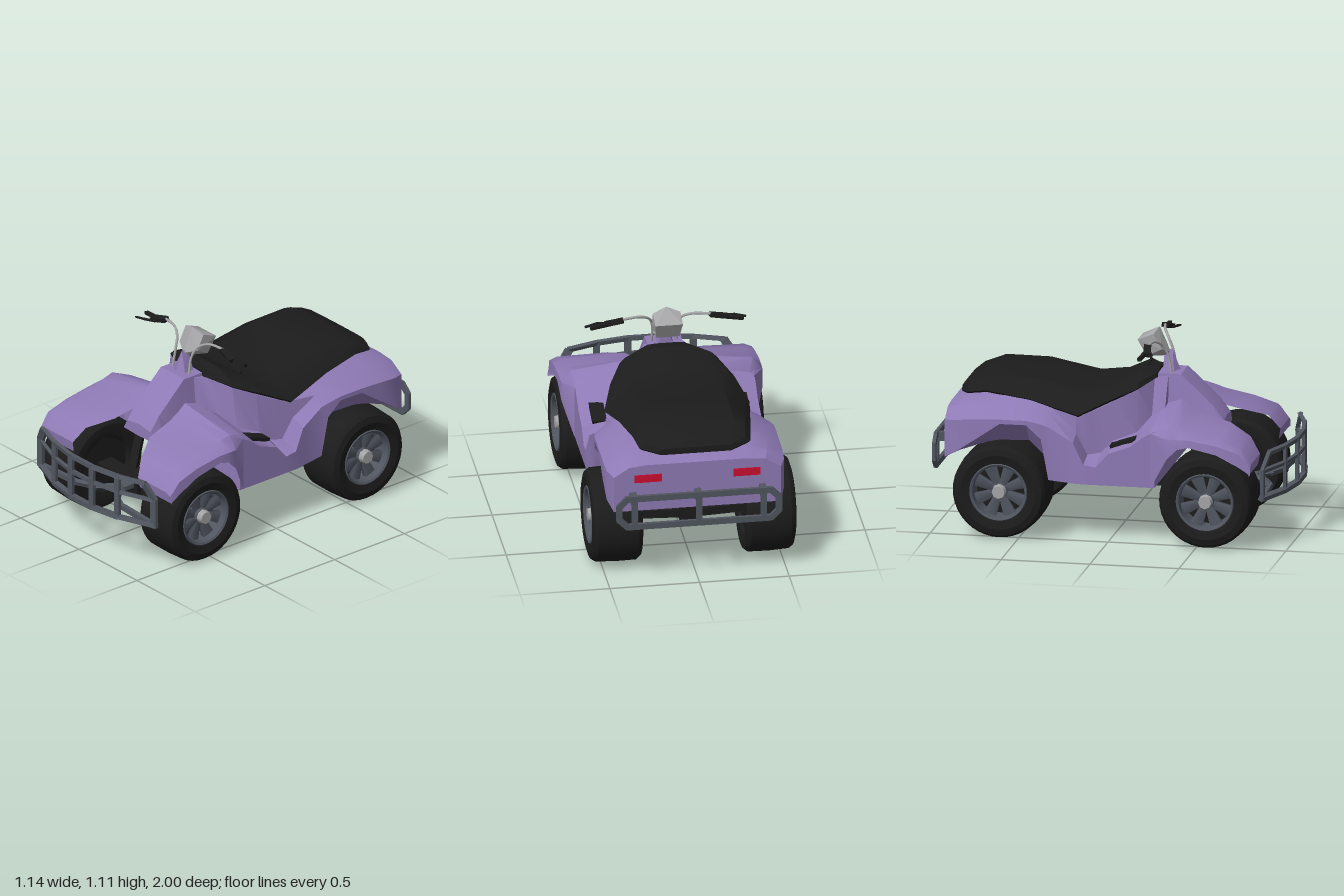
import * as THREE from 'three';
import { toCreasedNormals } from 'three/addons/utils/BufferGeometryUtils.js';
import { ConvexGeometry } from 'three/addons/geometries/ConvexGeometry.js';

const paint = (name, color, side = THREE.FrontSide) => {
  const m = new THREE.MeshStandardMaterial({ color, side });
  m.name = name;
  return m;
};
const V = (x, y, z) => new THREE.Vector3(x, y, z);

export function createModel() {
  const purple = paint('purple bodywork', 0x8e7ab5, THREE.DoubleSide);
  const black = paint('black rubber', 0x1c1c1c);
  const slate = paint('slate metal', 0x50555f);
  const silver = paint('light grey metal', 0xa6a6a8);
  const red = paint('red lamp', 0xcc0f30);
  const root = new THREE.Group();
  root.name = 'quadBike';

  const add = (name, geo, mat, parent = root) => {
    const mesh = new THREE.Mesh(geo, mat);
    mesh.name = name;
    parent.add(mesh);
    return mesh;
  };

  // Skin between rows of 3D points; capAt is the fan corner for the end caps
  const skin = (rows, closed, capAt = -1, crease = 0.5) => {
    const tri = [];
    const n = rows[0].length;
    for (let i = 0; i < rows.length - 1; i++) {
      for (let j = 0; j < (closed ? n : n - 1); j++) {
        const k = (j + 1) % n;
        const [a, b, c, d] = [rows[i][j], rows[i][k], rows[i + 1][k], rows[i + 1][j]];
        tri.push(a, b, c, a, c, d);
      }
    }
    if (capAt >= 0) {
      for (let j = 0; j < n; j++) {
        const k = (j + 1) % n;
        if (j === capAt || k === capAt) continue;
        const f = rows[0], b = rows[rows.length - 1];
        tri.push(f[capAt], f[k], f[j], b[capAt], b[j], b[k]);
      }
    }
    return toCreasedNormals(new THREE.BufferGeometry().setFromPoints(tri), crease);
  };

  // Symmetric solid from half sections [z, [x, y]...], top centre to bottom centre
  const loft = (sections, crease) => {
    const rows = sections.map(([z, ...half]) => [
      ...half.map(([x, y]) => V(x, y, z)),
      ...half.slice(1, -1).reverse().map(([x, y]) => V(-x, y, z)),
    ]);
    return skin(rows, true, sections[0].length - 2, crease);
  };

  // Rectangular bar between two points
  const bar = (name, p, q, w, d, mat, parent = root) => {
    const dir = q.clone().sub(p);
    const mesh = add(name, new THREE.BoxGeometry(w, dir.length() + w * 0.3, d), mat, parent);
    mesh.position.copy(p).add(q).multiplyScalar(0.5);
    mesh.quaternion.setFromUnitVectors(V(0, 1, 0), dir.normalize());
  };
  const rail = (name, pts, w, d, mat, parent) => {
    for (let i = 0; i < pts.length - 1; i++) bar(name, pts[i], pts[i + 1], w, d, mat, parent);
  };

  // Main body: z, seat edge, wall foot, ledge rim, height of the lower lip and of the underside
  const bodySections = [
    [0.26, [0.11, 0.86], [0.2, 0.7], [0.5, 0.64], 0.32, 0.32],
    [0.19, [0.14, 0.85], [0.22, 0.66], [0.5, 0.6], 0.32, 0.32],
    [0.12, [0.265, 0.815], [0.3, 0.58], [0.5, 0.545], 0.32, 0.32],
    [0, [0.33, 0.76], [0.35, 0.54], [0.5, 0.5], 0.32, 0.32],
    [-0.07, [0.355, 0.725], [0.36, 0.47], [0.5, 0.42], 0.32, 0.32],
    [-0.14, [0.38, 0.695], [0.38, 0.46], [0.5, 0.43], 0.32, 0.32],
    [-0.2, [0.39, 0.68], [0.4, 0.58], [0.49, 0.55], 0.32, 0.32],
    [-0.34, [0.37, 0.715], [0.42, 0.68], [0.48, 0.63], 0.33, 0.32],
    [-0.38, [0.365, 0.73], [0.42, 0.7], [0.49, 0.645], 0.56, 0.46],
    [-0.46, [0.355, 0.75], [0.41, 0.72], [0.5, 0.665], 0.64, 0.535],
    [-0.61, [0.33, 0.765], [0.41, 0.725], [0.5, 0.665], 0.64, 0.53],
    [-0.74, [0.315, 0.755], [0.41, 0.725], [0.5, 0.66], 0.55, 0.5],
    [-0.85, [0.3, 0.74], [0.4, 0.715], [0.495, 0.65], 0.475, 0.46],
    [-0.925, [0.28, 0.705], [0.38, 0.695], [0.465, 0.64], 0.43, 0.43],
  ].map(([z, e, f, l, lip, under]) =>
    [z, [0, e[1]], e, f, l, [l[0], lip], [0.415, under], [0, under]]);
  add('body', loft(bodySections, 0.4), purple);

  // Front hood with its nose and sloping underside, and the steering pedestal
  add('hood', loft([
    [0.57, [0, 0.635], [0.1, 0.62], [0.13, 0.565], [0, 0.56]],
    [0.51, [0, 0.71], [0.1, 0.7], [0.135, 0.56], [0, 0.55]],
    [0.33, [0, 0.875], [0.1, 0.87], [0.14, 0.48], [0, 0.46]],
    [0.18, [0, 0.875], [0.1, 0.87], [0.14, 0.45], [0, 0.43]],
  ], 0.3), purple);
  add('steeringPedestal', new ConvexGeometry([
    V(-0.05, 0.865, 0.28), V(0.05, 0.865, 0.28), V(0, 0.865, 0.31),
    V(-0.045, 0.865, 0.215), V(0.045, 0.865, 0.215), V(0, 0.985, 0.262), V(0, 0.985, 0.218),
  ]), purple);

  // Front fenders: z, inner edge, shoulder, outer edge, lower lip
  const fender = [
    [0.8, [0.285, 0.43], [0.52, 0.43], [0.555, 0.43], [0.565, 0.43]],
    [0.81, [0.28, 0.49], [0.52, 0.49], [0.558, 0.475], [0.565, 0.435]],
    [0.75, [0.24, 0.575], [0.52, 0.57], [0.565, 0.55], [0.567, 0.475]],
    [0.62, [0.15, 0.625], [0.51, 0.615], [0.562, 0.59], [0.567, 0.54]],
    [0.46, [0.13, 0.665], [0.5, 0.65], [0.562, 0.615], [0.567, 0.575]],
    [0.4, [0.13, 0.7], [0.5, 0.67], [0.562, 0.615], [0.567, 0.56]],
    [0.34, [0.12, 0.735], [0.505, 0.685], [0.56, 0.615], [0.56, 0.5]],
    [0.24, [0.12, 0.705], [0.47, 0.65], [0.502, 0.628], [0.502, 0.32]],
  ];
  for (const s of [1, -1]) {
    const rows = fender.map(([z, ...p]) => p.map(([x, y]) => V(s * x, y, z)));
    if (s < 0) rows.forEach((r) => r.reverse());
    add('frontFender', skin(rows, false, -1, 0.7), purple);
  }

  // Seat draped over the body: z, centre height, crown, shoulder, rim
  add('seat', loft([
    [0.2, 0.885, [0.06, 0.885], [0.105, 0.88], [0.125, 0.855]],
    [0.12, 0.9, [0.14, 0.893], [0.24, 0.85], [0.27, 0.82]],
    [-0.02, 0.815, [0.22, 0.815], [0.315, 0.79], [0.345, 0.765]],
    [-0.19, 0.8, [0.26, 0.785], [0.375, 0.72], [0.405, 0.685]],
    [-0.47, 0.852, [0.24, 0.846], [0.332, 0.795], [0.365, 0.755]],
    [-0.72, 0.857, [0.24, 0.848], [0.298, 0.82], [0.328, 0.782]],
    [-0.83, 0.815, [0.2, 0.812], [0.28, 0.795], [0.31, 0.765]],
    [-0.88, 0.775, [0.14, 0.775], [0.19, 0.772], [0.21, 0.75]],
  ].map(([z, top, crown, sh, e]) =>
    [z, [0, top], crown, sh, e, [e[0] - 0.015, e[1] - 0.012], [0, e[1] - 0.012]]), 0.45), black);

  // Headlamp pod
  const pod = [V(0, 1.112, 0.19), V(0, 0.97, 0.25), V(0, 0.95, 0.235)];
  for (const s of [1, -1]) {
    pod.push(V(s * 0.077, 1.085, 0.17), V(s * 0.077, 1.0, 0.215),
      V(s * 0.077, 1.05, 0.08), V(s * 0.065, 0.955, 0.13));
  }
  add('headlampPod', new ConvexGeometry(pod), silver);

  for (const s of [1, -1]) {
    // Handlebar, grip and lever
    const path = new THREE.CatmullRomCurve3([
      V(s * 0.07, 0.86, 0.27), V(s * 0.068, 0.97, 0.25), V(s * 0.09, 1.03, 0.22),
      V(s * 0.15, 1.06, 0.19), V(s * 0.25, 1.06, 0.17)]);
    add('handlebar', new THREE.TubeGeometry(path, 20, 0.0075, 6), silver);
    bar('gripMount', V(s * 0.245, 1.055, 0.17), V(s * 0.34, 1.033, 0.185), 0.024, 0.04, black);
    bar('grip', V(s * 0.3, 1.04, 0.175), V(s * 0.425, 1.026, 0.16), 0.018, 0.022, black);
    rail('lever', [V(s * 0.3, 1.033, 0.2), V(s * 0.38, 1.024, 0.22), V(s * 0.448, 1.008, 0.215)],
      0.009, 0.012, black);

    // Foot pad, tail lamp and front strut
    const pad = add('footPad', new THREE.BoxGeometry(0.08, 0.025, 0.15), black);
    pad.position.set(s * 0.4, 0.545, 0.07);
    pad.rotation.x = -0.32;
    add('tailLamp', new THREE.BoxGeometry(0.15, 0.045, 0.009), red)
      .position.set(s * 0.275, 0.625, -0.927);
    bar('frontStrut', V(s * 0.14, 0.57, 0.42), V(s * 0.115, 0.29, 0.52), 0.045, 0.04, black);
  }

  // Chassis beam and axles
  add('chassisBeam', new THREE.BoxGeometry(0.15, 0.095, 1.2), black).position.set(0, 0.273, -0.025);
  for (const z of [0.555, -0.605]) {
    add('axleHousing', new THREE.BoxGeometry(0.12, 0.09, 0.16), black).position.set(0, 0.27, z);
    for (const s of [1, -1]) {
      bar('axleArm', V(0, 0.255, z), V(s * 0.32, 0.268, z), 0.045, 0.1, black);
    }
  }

  // Front bumper, bowed forward at the centre
  const bumper = new THREE.Group();
  bumper.name = 'frontBumper';
  root.add(bumper);
  const bow = (x, y) => V(x, y, 0.985 - 0.5 * x * x);
  const across = (end, y) => [-end, -0.27, -0.09, 0.09, 0.27, end].map((x) => bow(x, y));
  rail('topRail', across(0.435, 0.537), 0.025, 0.022, slate, bumper);
  rail('middleRail', across(0.48, 0.444), 0.022, 0.018, slate, bumper);
  rail('bottomRail', across(0.5, 0.29), 0.028, 0.03, slate, bumper);
  for (const s of [1, -1]) {
    for (const x of [0.09, 0.27]) {
      bar('post', bow(s * x, 0.29), bow(s * x, 0.537), 0.037, 0.018, slate, bumper);
    }
    rail('endPost', [bow(s * 0.487, 0.29), bow(s * 0.487, 0.45), bow(s * 0.435, 0.53)],
      0.045, 0.02, slate, bumper);
    rail('bumperBracket', [V(s * 0.015, 0.29, 0.7), V(s * 0.09, 0.29, 0.8),
      V(s * 0.2, 0.29, 0.85), V(s * 0.49, 0.29, 0.865)], 0.03, 0.025, slate, bumper);
  }
  bar('bumperStem', V(0, 0.29, 0.58), V(0, 0.29, 0.73), 0.075, 0.025, slate, bumper);

  // Rear bumper
  const rear = new THREE.Group();
  rear.name = 'rearBumper';
  root.add(rear);
  const R = (x, y) => V(x, y, -0.988);
  for (const y of [0.535, 0.365]) bar('rearRail', R(-0.4, y), R(0.4, y), 0.034, 0.02, slate, rear);
  for (const s of [1, -1]) {
    rail('rearEnd', [R(s * 0.4, 0.535), R(s * 0.445, 0.49), R(s * 0.445, 0.41), R(s * 0.4, 0.365)],
      0.034, 0.02, slate, rear);
  }
  for (const x of [-0.36, 0, 0.36]) {
    bar('rearPost', R(x, 0.365), R(x, 0.535), 0.034, 0.018, slate, rear);
    bar('rearBracket', V(x, 0.52, -0.9), V(x, 0.52, -0.985), 0.035, 0.05, slate, rear);
  }

  // Wheels: built around y with +y as the outer face
  const lathe = (pts) => toCreasedNormals(
    new THREE.LatheGeometry(pts.map(([r, y]) => new THREE.Vector2(r, y)), 40), 0.5);
  const tyreGeo = lathe([[0.15, -0.11], [0.165, -0.13], [0.21, -0.143], [0.245, -0.138],
    [0.264, -0.115], [0.266, 0], [0.26, 0.11], [0.245, 0.132], [0.21, 0.142], [0.162, 0.13]]);
  const rimGeo = lathe([[0.165, 0.128], [0.158, 0.136], [0.147, 0.13], [0.14, 0.02]]);
  const spokeGeo = new THREE.CylinderGeometry(0.05, 0.027, 0.115, 4);
  spokeGeo.rotateY(Math.PI / 4).scale(1, 1, 0.4).translate(0, 0.09, 0).rotateX(Math.PI / 2);
  for (const s of [1, -1]) {
    for (const z of [0.555, -0.605]) {
      const wheel = new THREE.Group();
      wheel.name = z > 0 ? 'frontWheel' : 'rearWheel';
      wheel.position.set(s * 0.428, 0.266, z);
      wheel.rotation.z = -s * Math.PI / 2;
      root.add(wheel);
      add('tyre', tyreGeo, black, wheel);
      add('rim', rimGeo, slate, wheel);
      add('wheelBack', new THREE.CylinderGeometry(0.152, 0.152, 0.14, 32), black, wheel).position.y = -0.045;
      for (let i = 0; i < 8; i++) {
        const spoke = add('spoke', spokeGeo, slate, wheel);
        spoke.position.y = 0.075;
        spoke.rotation.y = (i + 0.5) * Math.PI / 4;
      }
      add('hub', new THREE.CylinderGeometry(0.042, 0.05, 0.1, 16), slate, wheel).position.y = 0.05;
      add('hubCap', new THREE.CylinderGeometry(0.036, 0.042, 0.04, 8), silver, wheel).position.y = 0.115;
    }
  }
  return root;
}
